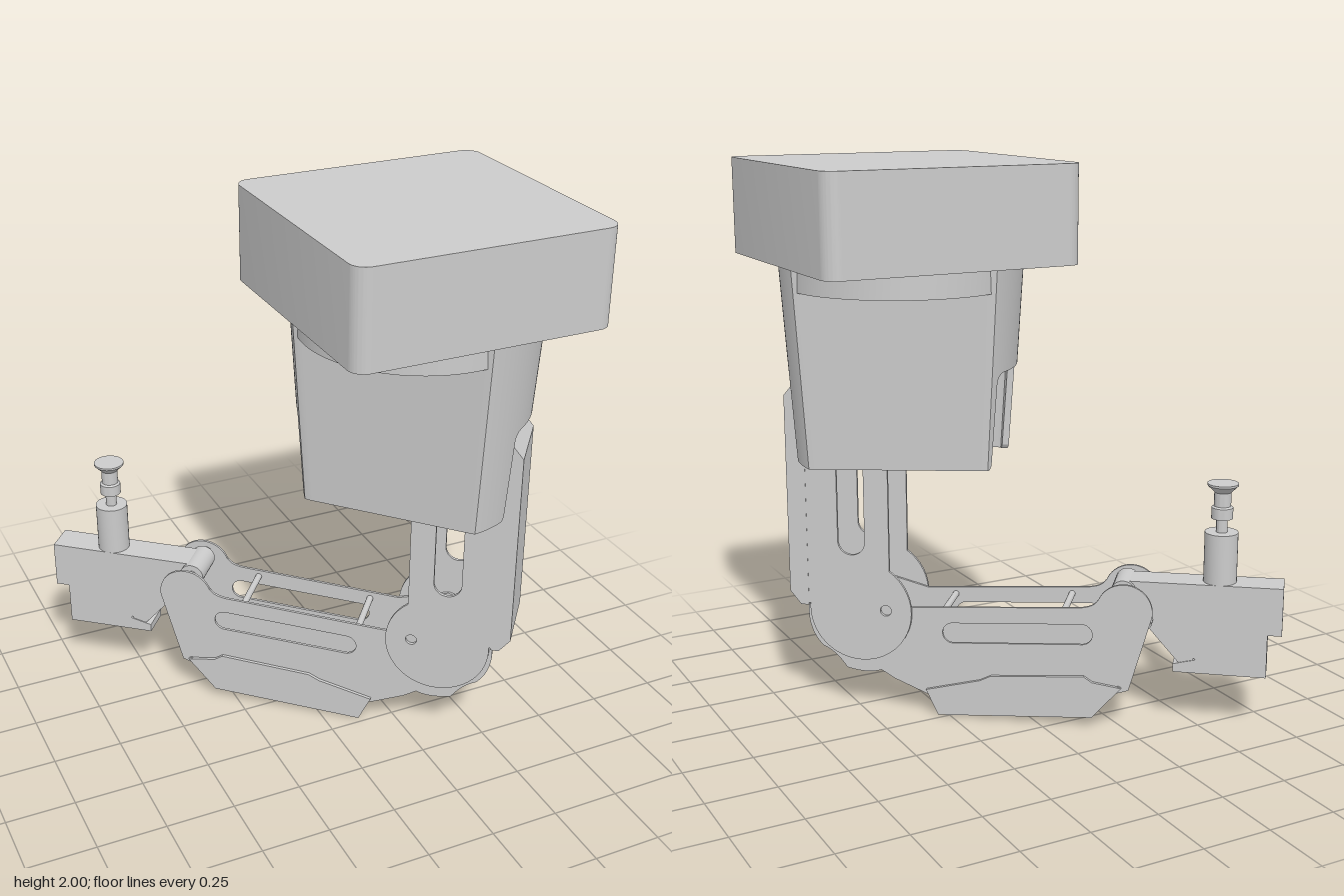
import * as THREE from 'three';
import { toCreasedNormals } from 'three/addons/utils/BufferGeometryUtils.js';

const material = new THREE.MeshStandardMaterial({ color: 0xcccccc, side: THREE.DoubleSide });

function add(parent, name, geometry, x = 0, y = 0, z = 0) {
  const mesh = new THREE.Mesh(toCreasedNormals(geometry, 0.5), material);
  mesh.name = name;
  mesh.position.set(x, y, z);
  parent.add(mesh);
  return mesh;
}

// Closed outline, or rounded slot, in the arm's side plane
const outline = (pts) => new THREE.Shape(pts.map(([x, y]) => new THREE.Vector2(x, y)));

function slot(x0, y0, x1, y1, r) {
  const a = Math.atan2(y1 - y0, x1 - x0);
  const path = new THREE.Path();
  path.absarc(x1, y1, r, a - Math.PI / 2, a + Math.PI / 2);
  path.absarc(x0, y0, r, a + Math.PI / 2, a + Math.PI * 1.5);
  path.closePath();
  return path;
}

// Plate of given thickness centred on z
function plate(parent, name, shape, z, thickness) {
  const g = new THREE.ExtrudeGeometry(shape, { depth: thickness, bevelEnabled: false, curveSegments: 20 });
  return add(parent, name, g, 0, 0, z - thickness / 2);
}

// Round bar running across the arm
function crossBar(parent, name, x, y, r, length) {
  return add(parent, name, new THREE.CylinderGeometry(r, r, length, 24).rotateX(Math.PI / 2), x, y, 0);
}

function roundedBlock(w, d, h, r) {
  const a = w / 2 - r, b = d / 2 - r, s = new THREE.Shape();
  s.absarc(a, b, r, 0, Math.PI / 2);
  s.absarc(-a, b, r, Math.PI / 2, Math.PI);
  s.absarc(-a, -b, r, Math.PI, Math.PI * 1.5);
  s.absarc(a, -b, r, Math.PI * 1.5, Math.PI * 2);
  return new THREE.ExtrudeGeometry(s, { depth: h, bevelEnabled: false }).rotateX(-Math.PI / 2);
}

// Tapered hollow turret: a circle cut by two slanted flats, with an arch front and back
function turretGeometry() {
  const n = 240, pos = [], index = [];
  const radius = (y) => 0.385 + (y - 0.95) * 0.063;
  const point = (phi, y, inset) => {
    const R = radius(y), c = Math.cos(phi), s = Math.abs(Math.sin(phi));
    const d = s - 0.156 * c;
    const flat = d > 0.01 ? (0.258 * R / 0.43) / d : 9;
    const r = Math.min(R, flat) - inset;
    return [r * c, y, r * Math.sin(phi)];
  };
  const bottom = (phi) => {
    const w = Math.abs(point(phi, 0.95, 0)[2]);
    if (w < 0.11) return 1.29;
    if (w < 0.15) return 1.25 + Math.sqrt(0.0016 - (w - 0.11) ** 2);
    if (w < 0.165) return 0.965;
    return 0.95;
  };
  for (let i = 0; i <= n; i++) {
    const phi = i / n * Math.PI * 2, b = bottom(phi);
    pos.push(...point(phi, 1.66, 0), ...point(phi, b, 0), ...point(phi, b, 0.025), ...point(phi, 1.6, 0.025));
    if (i < n) for (let k = 0; k < 3; k++) {
      const p = i * 4 + k, q = p + 4;
      index.push(p, q, p + 1, q, q + 1, p + 1);
    }
  }
  const g = new THREE.BufferGeometry();
  g.setAttribute('position', new THREE.Float32BufferAttribute(pos, 3));
  g.setIndex(index);
  return g;
}

function buildUpperArm(arm) {
  const group = new THREE.Group();
  group.name = 'upperArm';
  arm.add(group);
  for (const side of [-1, 1]) {
    // Side plate ending in the elbow disc
    const s = new THREE.Shape();
    s.moveTo(0.35, 1.25);
    s.lineTo(0.03, 1.25);
    s.lineTo(0.03, 0.545);
    s.absarc(0.14, 0.39, 0.19, Math.PI * 0.7, Math.PI * 2.03);
    s.lineTo(0.37, 0.41);
    s.lineTo(0.37, 1.2);
    s.closePath();
    s.holes.push(slot(0.17, 0.65, 0.17, 1.15, 0.05), slot(0.045, 0.395, 0.046, 0.395, 0.02));
    plate(group, 'upperArmPlate', s, side * 0.128, 0.012);
  }
  // Back cover with chamfered ends
  plate(group, 'upperArmCover', outline([
    [0.335, 0.4], [0.365, 0.4], [0.405, 0.45], [0.405, 1.18], [0.355, 1.24], [0.335, 1.24],
  ]), 0, 0.27);
  crossBar(group, 'elbowShaft', 0.14, 0.39, 0.035, 0.24);
}

function buildForearm(arm) {
  const group = new THREE.Group();
  group.name = 'forearm';
  arm.add(group);
  const channel = [[-0.815, 0.16], [-0.71, 0.04], [-0.145, 0.005], [-0.1, 0.1]];
  for (const side of [-1, 1]) {
    // Side plate: wrist lobe, long slot, hooked elbow end
    const s = new THREE.Shape();
    s.moveTo(-0.1, 0.08);
    s.lineTo(0.02, 0.13);
    s.lineTo(0.07, 0.16);
    s.quadraticCurveTo(0.12, 0.14, 0.2, 0.16);
    s.quadraticCurveTo(0.24, 0.22, 0.29, 0.24);
    s.quadraticCurveTo(0.35, 0.3, 0.34, 0.4);
    s.lineTo(0.14, 0.46);
    s.lineTo(-0.05, 0.41);
    s.lineTo(-0.66, 0.45);
    s.quadraticCurveTo(-0.71, 0.455, -0.724, 0.48);
    s.absarc(-0.82, 0.445, 0.1, 0.36, Math.PI * 1.05);
    s.lineTo(-0.84, 0.15);
    s.lineTo(-0.78, 0.13);
    s.lineTo(-0.7, 0.06);
    s.closePath();
    s.holes.push(slot(-0.67, 0.35, -0.2, 0.322, 0.038));
    plate(group, 'forearmPlate', s, side * 0.115, 0.01);
    // Cheek of the lower guard
    plate(group, 'guardCheek', outline([
      ...channel, [-0.3, 0.15], [-0.34, 0.17], [-0.68, 0.195], [-0.71, 0.175],
    ]), side * 0.126, 0.012);
  }
  // Floor and ends of the lower guard
  const inner = [[-0.113, 0.1], [-0.155, 0.018], [-0.702, 0.053], [-0.803, 0.165]];
  plate(group, 'guardFloor', outline([...channel, ...inner]), 0, 0.25);
  for (const [x, y] of [[-0.6, 0.42], [-0.16, 0.39], [0.25, 0.28]]) {
    crossBar(group, 'forearmSpacer', x, y, 0.012, 0.225);
  }
}

function buildGripper(arm) {
  const group = new THREE.Group();
  group.name = 'gripper';
  arm.add(group);
  // Head block narrowing towards the wrist
  plate(group, 'gripperBlock', outline([
    [-1.37, 0.545], [-1.37, 0.37], [-1.32, 0.37], [-1.32, 0.21], [-0.99, 0.21],
    [-0.99, 0.24], [-1.07, 0.26], [-0.94, 0.41], [-0.86, 0.46], [-0.8, 0.46], [-0.8, 0.54],
  ]), 0, 0.117);
  crossBar(group, 'wristBarrel', -0.81, 0.5, 0.045, 0.15);
  crossBar(group, 'wristPin', -0.81, 0.5, 0.022, 0.235);
  crossBar(group, 'lowerPin', -0.9, 0.4, 0.016, 0.22);
  // Small link under the block
  const lug = new THREE.Shape();
  lug.absarc(-0.92, 0.4, 0.035, -0.8, Math.PI - 0.8);
  lug.absarc(-1.03, 0.275, 0.035, Math.PI - 0.8, Math.PI * 2 - 0.8);
  lug.closePath();
  for (const side of [-1, 1]) plate(group, 'wristLink', lug, side * 0.045, 0.02);

  // Suction cup assembly, turned in one profile
  const profile = [
    [0, 0.54], [0.059, 0.54], [0.059, 0.725], [0.02, 0.725], [0.02, 0.775], [0.038, 0.775],
    [0.038, 0.815], [0.03, 0.82], [0.03, 0.87], [0.055, 0.895], [0.055, 0.902], [0, 0.902],
  ].map(([x, y]) => new THREE.Vector2(x, y));
  add(group, 'suctionCup', new THREE.LatheGeometry(profile, 32), -1.145, 0, 0);
}

export function createModel() {
  const model = new THREE.Group();
  model.name = 'robotArm';
  add(model, 'baseBlock', roundedBlock(0.93, 0.935, 0.34, 0.055), 0.315, 1.66, 0.2175);

  // Everything below the base turns about its vertical axis
  const arm = new THREE.Group();
  arm.name = 'swivel';
  arm.position.set(0.315, 0, 0.2175);
  arm.rotation.y = -0.682;
  model.add(arm);
  add(arm, 'swivelFlange', new THREE.CylinderGeometry(0.413, 0.413, 0.09, 96), 0, 1.615, 0);
  add(arm, 'turret', turretGeometry());
  buildUpperArm(arm);
  buildForearm(arm);
  buildGripper(arm);
  return model;
}
